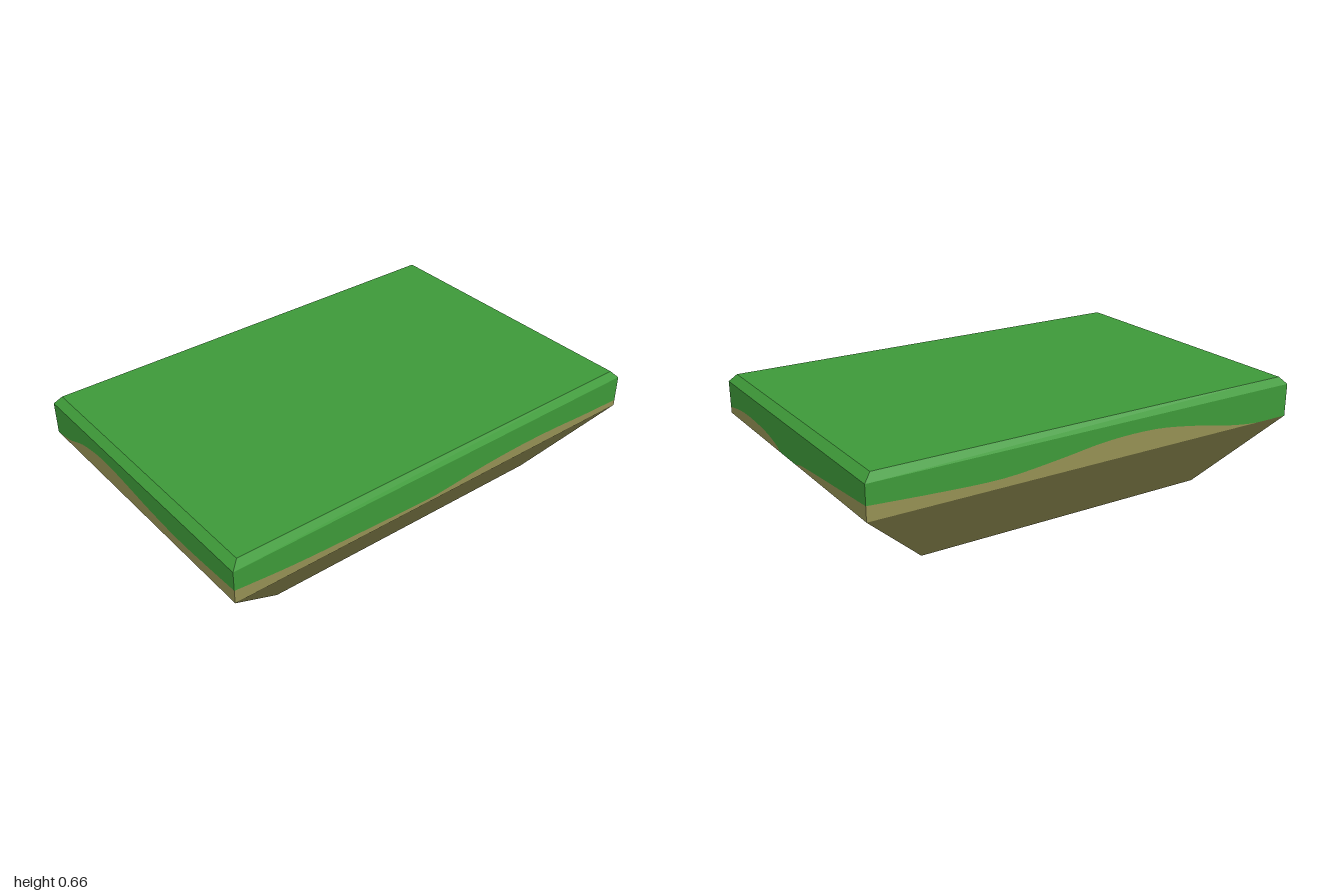
import * as THREE from 'three';

const HX = 1, HZ = 0.665, RIM = 0.486, EDGE = 0.63;

// Corners of a level rectangle, in order front-left to back-left as seen from the front
const ring = (x, z, y) => [[-x, y, z], [x, y, z], [x, y, -z], [-x, y, -z]];

// Flat-shaded geometry from quads given bottom-left, bottom-right, top-right, top-left
function quads(list) {
  const pos = [];
  for (const [a, b, c, d] of list) pos.push(...a, ...b, ...c, ...a, ...c, ...d);
  const g = new THREE.BufferGeometry();
  g.setAttribute('position', new THREE.Float32BufferAttribute(pos, 3));
  g.computeVertexNormals();
  return g;
}

// Sloping bands between successive rings
function bands(rings) {
  const list = [];
  for (let k = 0; k + 1 < rings.length; k++) {
    const lo = rings[k], hi = rings[k + 1];
    for (let i = 0; i < 4; i++) {
      const j = (i + 1) % 4;
      list.push([lo[i], lo[j], hi[j], hi[i]]);
    }
  }
  return list;
}

// Wavy grass line on each wall: [fraction from left to right seen from outside, height]
const WAVES = {
  front: [[0, 0.545], [0.12, 0.524], [0.25, 0.513], [0.44, 0.502], [0.5, 0.506], [0.6, 0.523],
    [0.7, 0.531], [0.8, 0.529], [0.9, 0.519], [1, 0.513]],
  right: [[0, 0.513], [0.1, 0.533], [0.2, 0.536], [0.31, 0.526], [0.38, 0.507], [0.43, RIM],
    [0.53, RIM], [0.58, 0.501], [0.75, 0.521], [1, 0.548]],
  back: [[0, 0.548], [0.15, 0.53], [0.28, 0.522], [0.4, 0.542], [0.52, 0.569], [0.64, 0.57],
    [0.75, 0.54], [0.84, 0.505], [0.92, RIM], [1, RIM]],
  left: [[0, RIM], [0.08, 0.503], [0.18, 0.55], [0.3, 0.571], [0.42, 0.562], [0.58, 0.54],
    [0.75, 0.53], [1, 0.545]],
};

export function createModel() {
  const group = new THREE.Group();
  group.name = 'floatingIsland';
  const grass = new THREE.MeshStandardMaterial({ color: 0x3f9c3a });
  grass.name = 'grassGreen';
  const earth = new THREE.MeshStandardMaterial({ color: 0x979355 });
  earth.name = 'earthBrown';

  const add = (name, geometry, material) => {
    const mesh = new THREE.Mesh(geometry, material);
    mesh.name = name;
    group.add(mesh);
  };

  // Tapered earth underside with a small flat base
  const base = ring(0.13, 0.09, 0);
  add('earthUnderside', quads([
    ...bands([base, ring(0.68, 0.453, 0.18), ring(HX, HZ, RIM)]),
    [base[3], base[2], base[1], base[0]],
  ]), earth);

  // Walls split into an earth strip and a grass strip along the wavy line
  const corners = ring(HX, HZ, 0);
  Object.entries(WAVES).forEach(([side, wave], i) => {
    const a = corners[i], b = corners[(i + 1) % 4];
    const at = (t, y) => [a[0] + (b[0] - a[0]) * t, y, a[2] + (b[2] - a[2]) * t];
    const line = new THREE.SplineCurve(wave.map(([t, y]) => new THREE.Vector2(t, y))).getPoints(36);
    const lower = [], upper = [];
    for (let k = 0; k + 1 < line.length; k++) {
      const p = line[k], q = line[k + 1];
      const py = Math.max(p.y, RIM), qy = Math.max(q.y, RIM);
      lower.push([at(p.x, RIM), at(q.x, RIM), at(q.x, qy), at(p.x, py)]);
      upper.push([at(p.x, py), at(q.x, qy), at(q.x, EDGE), at(p.x, EDGE)]);
    }
    add(side + 'EarthStrip', quads(lower), earth);
    add(side + 'GrassWall', quads(upper), grass);
  });

  // Bevelled grass edge and flat top
  const top = ring(0.968, 0.643, 0.662);
  add('grassTop', quads([...bands([ring(HX, HZ, EDGE), top]), top]), grass);

  return group;
}
